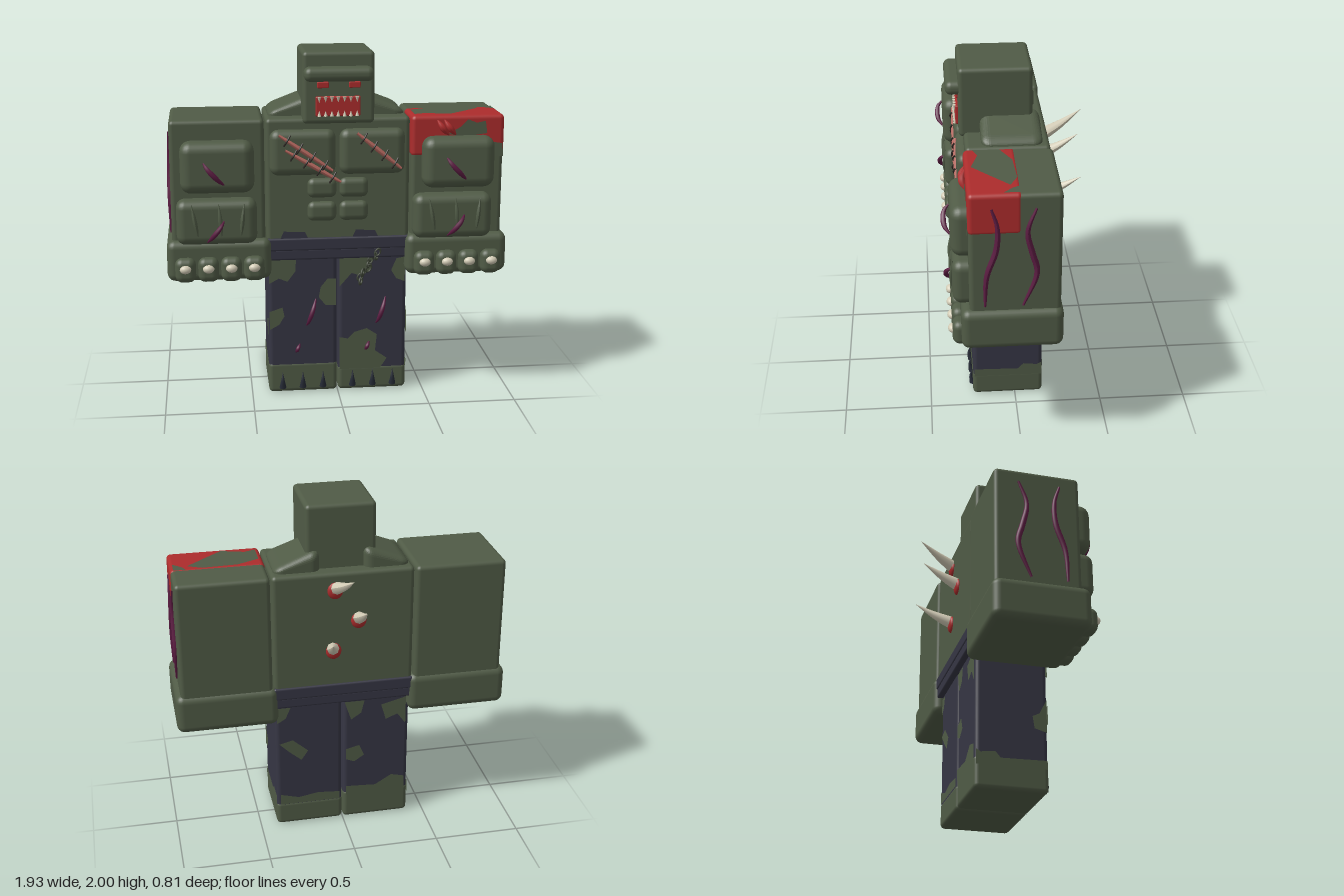
import * as THREE from 'three';
import { RoundedBoxGeometry } from 'three/addons/geometries/RoundedBoxGeometry.js';

const material = (name, color, side = THREE.FrontSide) =>
  Object.assign(new THREE.MeshStandardMaterial({ color, side }), { name });

export function createModel() {
  const model = new THREE.Group();
  const green = material('skin green', 0x505b46, THREE.DoubleSide);
  const navy = material('trouser navy', 0x363644, THREE.DoubleSide);
  const red = material('blood red', 0xac2c2c, THREE.DoubleSide);
  const purple = material('vein purple', 0x5c1c42);
  const bone = material('bone', 0xd3ccb6);
  const pink = material('scar pink', 0xb5685f);
  const dark = material('stitch dark', 0x2f2a26);
  const chainMat = material('chain green', 0x3c4334);
  const claw = material('claw navy', 0x262b36);

  const add = (name, geo, mat, parent = model) => {
    const mesh = new THREE.Mesh(geo, mat);
    mesh.name = name;
    parent.add(mesh);
    return mesh;
  };
  // Rounded box from its low and high corners
  const box = (name, mat, [x0, y0, z0], [x1, y1, z1], r = 0.025, parent) => {
    const geo = new RoundedBoxGeometry(x1 - x0, y1 - y0, z1 - z0, 3, r);
    geo.translate((x0 + x1) / 2, (y0 + y1) / 2, (z0 + z1) / 2);
    return add(name, geo, mat, parent);
  };
  // Tube along points, its thickness following a profile of 0..1
  const even = () => 1, lens = t => 0.15 + 0.85 * Math.sin(Math.PI * t);
  const tube = (name, mat, pts, r, profile = even, parent) => {
    const curve = new THREE.CatmullRomCurve3(pts.map(p => new THREE.Vector3(...p)));
    const n = 20, k = 8, geo = new THREE.TubeGeometry(curve, n, r, k);
    const pos = geo.attributes.position, v = new THREE.Vector3();
    for (let i = 0; i <= n; i++) {
      const c = curve.getPointAt(i / n);
      for (let j = 0; j <= k; j++) {
        const id = i * (k + 1) + j;
        v.fromBufferAttribute(pos, id).sub(c).multiplyScalar(profile(i / n)).add(c);
        pos.setXYZ(id, v.x, v.y, v.z);
      }
    }
    geo.computeVertexNormals();
    return add(name, geo, mat, parent);
  };
  // Flat painted patch: outline in the plane, at depth w
  const place = {
    z: (u, v, w) => [u, v, w], x: (u, v, w) => [w, v, u], y: (u, v, w) => [u, w, v],
  };
  const patch = (name, mat, axis, w, pts, parent) => {
    const geo = new THREE.ShapeGeometry(new THREE.Shape(pts.map(p => new THREE.Vector2(...p))));
    const pos = geo.attributes.position;
    for (let i = 0; i < pos.count; i++) pos.setXYZ(i, ...place[axis](pos.getX(i), pos.getY(i), w));
    // Keep faces turned outward
    const flip = (axis === 'z' ? 1 : -1) * (axis === 'y' ? 1 : Math.sign(w)) < 0;
    if (flip) {
      const idx = geo.index.array;
      for (let i = 0; i < idx.length; i += 3) [idx[i], idx[i + 1]] = [idx[i + 1], idx[i]];
    }
    geo.computeVertexNormals();
    return add(name, geo, mat, parent);
  };
  const ball = (name, mat, [x, y, z], [sx, sy, sz], parent) => {
    const m = add(name, new THREE.SphereGeometry(1, 16, 12), mat, parent);
    m.position.set(x, y, z);
    m.scale.set(sx, sy, sz);
    return m;
  };

  // Torso, chest and belly
  box('torso', green, [-0.405, 0.84, -0.19], [0.405, 1.63, 0.27]);
  for (const s of [-1, 1]) {
    const px = s * 0.195 - 0.005;
    box('chestMuscle', green, [px - 0.185, 1.31, 0.2], [px + 0.185, 1.57, 0.315], 0.05);
    for (const y of [1.235, 1.1])
      box('bellyMuscle', green, [s * 0.09 - 0.085, y - 0.057, 0.22], [s * 0.09 + 0.08, y + 0.057, 0.3], 0.036);
    // Sloping shoulder muscle
    const geo = new RoundedBoxGeometry(0.26, 0.19, 0.33, 4, 0.05), pos = geo.attributes.position;
    for (let i = 0; i < pos.count; i++) {
      const t = (pos.getX(i) * s + 0.13) / 0.26, h = (pos.getY(i) + 0.095) / 0.19;
      pos.setY(i, pos.getY(i) - 0.1 * t * h);
    }
    geo.computeVertexNormals();
    add('shoulderMuscle', geo, green).position.set(s * 0.255, 1.66, 0.015);
  }

  // Belt and its torn upper edge
  box('beltUpper', navy, [-0.408, 0.87, -0.2], [0.408, 0.945, 0.28], 0.012);
  box('beltLower', navy, [-0.4, 0.815, -0.195], [0.4, 0.88, 0.275], 0.012);
  for (const [a, b] of [[-0.33, -0.17], [0.08, 0.23]])
    patch('beltTear', navy, 'z', 0.273, [[a, 0.94], [b, 0.94], [b - 0.02, 0.98], [a + 0.02, 0.985]]);

  // Stitched chest scars
  for (const [a, b] of [
    [[-0.335, 1.545], [-0.035, 1.34]], [[-0.3, 1.46], [0.01, 1.275]], [[0.1, 1.55], [0.35, 1.345]],
  ]) {
    const at = t => [a[0] + (b[0] - a[0]) * t, a[1] + (b[1] - a[1]) * t];
    tube('scar', pink, [0, 0.5, 1].map(t => [...at(t), 0.314]), 0.014, t => 0.5 + 0.5 * Math.sin(Math.PI * t));
    for (const t of [0.15, 0.38, 0.62, 0.85]) {
      const [x, y] = at(t);
      tube('stitch', dark, [[x - 0.018, y - 0.03, 0.318], [x, y, 0.33], [x + 0.018, y + 0.03, 0.318]], 0.005);
    }
  }

  // Head and face
  box('head', green, [-0.2, 1.6, -0.11], [0.2, 2, 0.295]);
  box('brow', green, [-0.195, 1.84, 0.26], [0.19, 1.92, 0.365], 0.036);
  box('mouth', red, [-0.13, 1.645, 0.28], [0.12, 1.755, 0.31], 0.008);
  for (const s of [-1, 1]) box('eye', red, [s * 0.088 - 0.032, 1.8, 0.28], [s * 0.088 + 0.032, 1.835, 0.305], 0.006);
  for (let i = 0; i < 7; i++) for (const s of [-1, 1]) {
    const tooth = add('tooth', new THREE.ConeGeometry(0.011, 0.032, 8), bone);
    tooth.position.set(-0.11 + i * 0.035, 1.7 + s * 0.038, 0.312);
    if (s > 0) tooth.rotation.z = Math.PI;
  }

  // Arms
  const veins = [
    [[0.165, 1.555], [0.135, 1.45], [0.14, 1.32], [0.19, 1.16], [0.2, 0.98]],
    [[-0.065, 1.555], [-0.02, 1.42], [-0.045, 1.29], [-0.07, 1.18], [0, 0.98]],
  ];
  for (const s of [-1, 1]) {
    const arm = new THREE.Group(), cx = s * 0.675;
    arm.name = s > 0 ? 'leftArm' : 'rightArm';
    model.add(arm);
    box('armBlock', green, [cx - 0.262, 0.8, -0.2], [cx + 0.262, 1.63, 0.28], 0.025, arm);
    box('fist', green, [cx - 0.292, 0.72, -0.215], [cx + 0.292, 0.955, 0.325], 0.045, arm);
    box('upperPad', green, [cx - 0.205, 1.23, 0.2], [cx + 0.203, 1.52, 0.37], 0.06, arm);
    const fx = s > 0 ? 0.645 : -0.683;
    box('forearmPad', green, [fx - 0.225, 0.94, 0.2], [fx + 0.222, 1.195, 0.365], 0.05, arm);
    for (const [x0, x1] of [[-0.14, -0.105], [0.01, 0.025], [0.15, 0.13]])
      tube('tendon', green, [[fx + x0, 1.175, 0.36], [fx + (x0 + x1) / 2, 1.08, 0.368], [fx + x1, 0.98, 0.36]], 0.012, lens, arm);
    for (let i = 0; i < 4; i++) {
      const x = cx - 0.19 + i * 0.128;
      box('knuckle', green, [x - 0.058, 0.725, 0.27], [x + 0.058, 0.865, 0.372], 0.04, arm);
      ball('nail', bone, [x, 0.808, 0.37], [0.032, 0.024, 0.025], arm);
    }
    // Veins on the pads and outer side
    tube('padVein', purple, [[cx - 0.08, 1.415, 0.36], [cx - 0.055, 1.38, 0.395], [cx, 1.32, 0.395], [cx + 0.04, 1.28, 0.36]], 0.015, lens, arm);
    tube('padVein', purple, [[cx - 0.065, 0.955, 0.35], [cx - 0.03, 1.0, 0.39], [cx + 0.01, 1.05, 0.39], [cx + 0.035, 1.085, 0.355]], 0.014, lens, arm);
    for (const v of veins)
      tube('sideVein', purple, v.map(([z, y]) => [s * 0.94, y, z]), 0.016, t => 0.4 + 0.6 * Math.sin(Math.PI * t), arm);
  }

  // Blood on the left shoulder, with bare skin showing through
  box('bloodCap', red, [0.41, 1.4, 0.005], [0.94, 1.634, 0.284], 0.025);
  patch('bareSkin', green, 'y', 1.637, [[0.435, 0.09], [0.56, 0.03], [0.76, 0.02], [0.84, 0.06], [0.72, 0.17], [0.63, 0.25], [0.5, 0.21], [0.435, 0.235]]);
  patch('bareSkin', green, 'y', 1.637, [[0.85, 0.01], [0.92, 0.01], [0.92, 0.1], [0.87, 0.05]]);
  patch('bareSkin', green, 'z', 0.287, [[0.62, 1.53], [0.7, 1.51], [0.84, 1.53], [0.83, 1.6], [0.78, 1.59], [0.73, 1.61], [0.69, 1.57]]);
  patch('bareSkin', green, 'z', 0.287, [[0.85, 1.395], [0.935, 1.395], [0.93, 1.47], [0.87, 1.48]]);
  for (const x of [0.555, 0.595])
    tube('welt', red, [[x, 1.61, 0.28], [x + 0.03, 1.565, 0.3], [x + 0.07, 1.52, 0.28]], 0.018, lens);

  // Legs with green feet
  for (const s of [-1, 1]) {
    const x0 = s > 0 ? 0.005 : -0.4, x1 = x0 + 0.395;
    box('trouserLeg', navy, [x0, 0.08, -0.16], [x1, 0.86, 0.245]);
    box('foot', green, [x0 - 0.002, 0, -0.163], [x1 + 0.002, s > 0 ? 0.15 : 0.185, 0.248]);
    for (const x of [-0.118, 0, 0.118])
      tube('toeClaw', claw, [[s * 0.205 + x, 0.03, 0.247], [s * 0.205 + x, 0.08, 0.258], [s * 0.205 + x, 0.125, 0.25]], 0.02, t => 1.02 - t);
    const vx = s > 0 ? 0.25 : -0.155;
    tube('legVein', purple, [[vx - 0.028, 0.405, 0.24], [vx - 0.012, 0.45, 0.275], [vx + 0.012, 0.52, 0.275], [vx + 0.03, 0.575, 0.24]], 0.014, lens);
    tube('legVein', purple, [[vx - 0.09, 0.245, 0.245], [vx - 0.08, 0.27, 0.262], [vx - 0.065, 0.3, 0.245]], 0.012, lens);
  }
  // Camouflage patches: front, back, then outer sides
  for (const p of [
    [[-0.395, 0.81], [-0.24, 0.81], [-0.245, 0.74], [-0.29, 0.68], [-0.34, 0.7], [-0.395, 0.67]],
    [[-0.395, 0.39], [-0.34, 0.42], [-0.31, 0.47], [-0.32, 0.525], [-0.395, 0.5]],
    [[-0.01, 0.69], [-0.06, 0.69], [-0.1, 0.64], [-0.11, 0.58], [-0.07, 0.53], [-0.01, 0.53]],
    [[0.01, 0.81], [0.2, 0.81], [0.19, 0.74], [0.14, 0.7], [0.08, 0.72], [0.01, 0.64]],
    [[0.39, 0.81], [0.34, 0.8], [0.31, 0.73], [0.34, 0.68], [0.39, 0.66]],
    [[0.01, 0.13], [0.25, 0.13], [0.29, 0.19], [0.22, 0.24], [0.23, 0.34], [0.17, 0.38], [0.1, 0.36], [0.06, 0.32], [0.01, 0.33]],
  ]) patch('camouflageFront', green, 'z', 0.249, p);
  for (const p of [
    [[0.38, 0.56], [0.3, 0.58], [0.21, 0.5], [0.25, 0.44], [0.32, 0.5]],
    [[0.39, 0.8], [0.31, 0.8], [0.34, 0.73], [0.39, 0.7]],
    [[0.02, 0.14], [0.38, 0.14], [0.38, 0.21], [0.27, 0.18], [0.15, 0.2], [0.02, 0.19]],
    [[-0.01, 0.8], [-0.13, 0.8], [-0.11, 0.72], [-0.05, 0.68]],
    [[-0.38, 0.8], [-0.23, 0.76], [-0.26, 0.66], [-0.33, 0.69], [-0.38, 0.62]],
    [[-0.02, 0.48], [-0.1, 0.5], [-0.13, 0.43], [-0.07, 0.39], [-0.02, 0.41]],
    [[-0.02, 0.16], [-0.38, 0.16], [-0.38, 0.25], [-0.3, 0.27], [-0.2, 0.21], [-0.02, 0.22]],
  ]) patch('camouflageBack', green, 'z', -0.164, p);
  for (const s of [-1, 1]) for (const p of [
    [[0.24, 0.34], [0.17, 0.36], [0.16, 0.43], [0.2, 0.45], [0.24, 0.53]],
    [[0.24, 0.13], [0.24, 0.18], [-0.02, 0.175], [-0.05, 0.21], [-0.13, 0.2], [-0.155, 0.215], [-0.155, 0.13]],
  ]) patch('camouflageSide', green, 'x', s * 0.403, p);

  // Hanging chain
  for (let i = 0; i < 8; i++) {
    const t = i / 7, link = add('chainLink', new THREE.TorusGeometry(0.018, 0.006, 6, 12), chainMat);
    link.position.set(0.225 - 0.105 * t + 0.012 * Math.sin(i * 2), 0.85 - 0.175 * t, 0.282 - 0.022 * Math.min(1, t * 3));
    link.rotation.set(0, i % 2 ? 0.9 : 0, -0.5);
    link.scale.set(0.8, 1.2, 1);
  }

  // Bone spikes on the back, each in a red wound
  for (const [bx, by, tx] of [[0.05, 1.53, -0.01], [-0.085, 1.34, -0.085], [0.06, 1.16, 0.105]]) {
    const mx = (bx + tx) / 2;
    ball('wound', red, [bx, by - 0.005, -0.19], [0.045, 0.05, 0.022]);
    tube('backSpike', bone, [[bx, by, -0.17], [mx, by + 0.055, -0.285], [tx, by + 0.125, -0.4]], 0.038, t => 1.01 - t ** 1.3);
  }
  return model;
}
